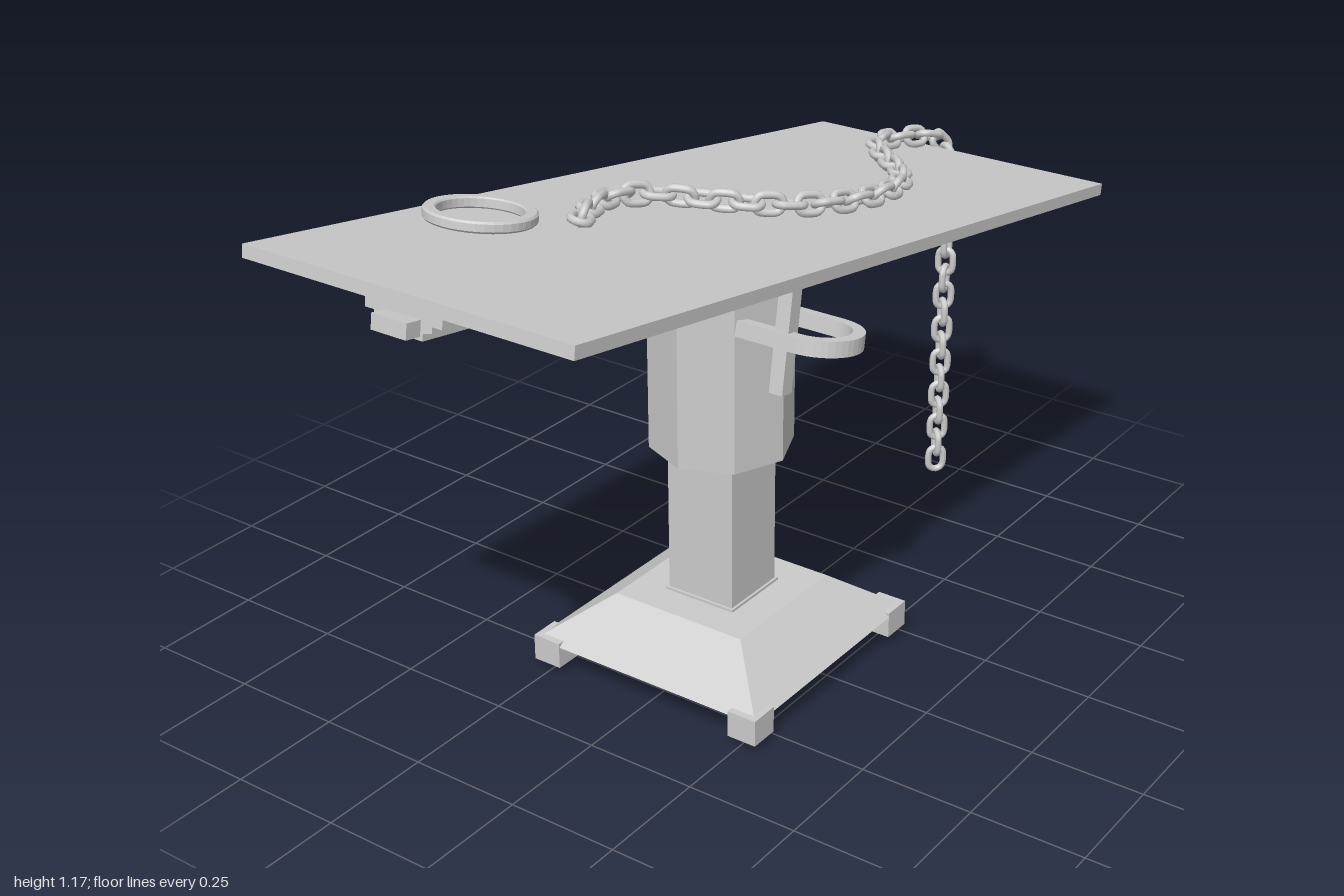
import * as THREE from 'three';

const TILT = -0.156;
const grey = new THREE.MeshStandardMaterial({ color: 0xcccccc });
const facet = new THREE.MeshStandardMaterial({ color: 0xcccccc, flatShading: true });

function add(parent, name, geometry, x = 0, y = 0, z = 0, material = facet) {
  const mesh = new THREE.Mesh(geometry, material);
  mesh.name = name;
  mesh.position.set(x, y, z);
  parent.add(mesh);
  return mesh;
}
const box = (w, h, d) => new THREE.BoxGeometry(w, h, d);

// Height of the sloping table surface at x
const tableY = (x) => 1.033 + Math.tan(TILT) * (x + 0.025);

// Pedestal: feet, flared base, column, octagonal housing and neck
function pedestal() {
  const g = new THREE.Group();
  g.name = 'pedestal';
  for (const sx of [-1, 1]) for (const sz of [-1, 1]) {
    add(g, 'foot', box(0.068, 0.06, 0.068), sx * 0.258, 0.055, sz * 0.256);
  }
  const base = new THREE.CylinderGeometry(0.163 * Math.SQRT2, 0.29 * Math.SQRT2, 0.095, 4);
  base.rotateY(Math.PI / 4);
  add(g, 'base', base, 0, 0.1225, 0);
  add(g, 'columnCollar', box(0.172, 0.008, 0.176), 0, 0.172, 0);
  add(g, 'column', box(0.16, 0.39, 0.165), 0, 0.355, 0);
  add(g, 'housing', new THREE.CylinderGeometry(0.155, 0.155, 0.38, 8), 0, 0.708, 0);
  add(g, 'neck', box(0.15, 0.11, 0.18), 0, 0.943, 0);
  g.position.x = -0.038;
  return g;
}

// Tilted table top with the stepped rail beneath it
function table() {
  const g = new THREE.Group();
  g.name = 'table';
  add(g, 'tableTop', box(1.9, 0.026, 0.752), 0, -0.013, 0);
  const half = [[0.088, 0], [0.088, -0.022], [0.066, -0.022], [0.066, -0.034], [0.046, -0.038], [0.046, -0.052]];
  const outline = [...half, ...half.map(([z, y]) => [-z, y]).reverse()];
  const profile = new THREE.Shape(outline.map(([z, y]) => new THREE.Vector2(z, y)));
  const rail = new THREE.ExtrudeGeometry(profile, { depth: 1.88, bevelEnabled: false });
  rail.translate(0, 0, -0.94).rotateY(Math.PI / 2);
  add(g, 'rail', rail, 0, -0.026, 0);
  add(g, 'railEnds', box(1.95, 0.03, 0.08), 0, -0.056, 0);
  g.position.set(-0.025, 1.033, 0);
  g.rotation.z = TILT;
  return g;
}

// Lever under the table and the U-shaped handle round it
function controls() {
  const g = new THREE.Group();
  g.name = 'controls';
  add(g, 'lever', box(0.034, 0.28, 0.032), -0.118, 0.868, 0.215).rotation.z = TILT;
  const r = 0.094, t = 0.026, end = 0.1, bend = 0.245;
  const u = new THREE.Shape();
  u.moveTo(r, end);
  u.lineTo(r, bend);
  u.absarc(0, bend, r, 0, Math.PI, false);
  u.lineTo(-r, end);
  u.lineTo(-r + t, end);
  u.lineTo(-r + t, bend);
  u.absarc(0, bend, r - t, Math.PI, 0, true);
  u.lineTo(r - t, end);
  const geo = new THREE.ExtrudeGeometry(u, { depth: 0.034, bevelEnabled: false, curveSegments: 10 });
  geo.rotateX(Math.PI / 2).translate(0, 0.017, 0);
  add(g, 'handle', geo, -0.052, 0.83, 0).rotation.z = TILT;
  return g;
}

// Flat collar ring lying on the table, turned from a bevelled section
function collar() {
  const section = [[0.085, 0.003], [0.088, 0], [0.107, 0], [0.111, 0.004], [0.111, 0.019],
    [0.107, 0.023], [0.088, 0.023], [0.085, 0.02], [0.085, 0.003]];
  const geo = new THREE.LatheGeometry(section.map(([x, y]) => new THREE.Vector2(x, y)), 40);
  const g = new THREE.Group();
  g.name = 'collar';
  add(g, 'collarRing', geo);
  g.position.set(-0.49, tableY(-0.49), -0.24);
  g.rotation.z = TILT;
  return g;
}

// Stadium-shaped link lying along local y
class LinkCurve extends THREE.Curve {
  getPoint(t, target = new THREE.Vector3()) {
    const a = t * Math.PI * 2;
    const s = Math.sin(a);
    const straight = THREE.MathUtils.clamp(s * 3, -1, 1) * 0.011;
    return target.set(Math.cos(a) * 0.019, s * 0.019 + straight, 0);
  }
}

// Chain winding over the table and hanging off its end
function chain() {
  const g = new THREE.Group();
  g.name = 'chain';
  const onTable = [[-0.42, -0.055], [-0.32, -0.108], [-0.2, -0.138], [-0.12, -0.1], [-0.06, 0],
    [0, 0.08], [0.1, 0.145], [0.25, 0.175], [0.4, 0.15], [0.5, 0.09], [0.6, -0.01],
    [0.69, -0.085], [0.77, -0.105], [0.85, -0.09]];
  const points = onTable.map(([x, z]) => new THREE.Vector3(x, tableY(x) + 0.027, z));
  for (const [x, y, z] of [[0.915, 0.908, -0.07], [0.953, 0.865, -0.052], [0.962, 0.8, -0.045],
    [0.957, 0.5, -0.045], [0.955, 0.25, -0.045], [0.954, 0.025, -0.045]]) {
    points.push(new THREE.Vector3(x, y, z));
  }
  const path = new THREE.CatmullRomCurve3(points, false, 'centripetal');
  path.arcLengthDivisions = 600;
  const link = new THREE.TubeGeometry(new LinkCurve(), 24, 0.0085, 8, true);
  const count = Math.round(path.getLength() / 0.045);
  const up = new THREE.Vector3(0, 1, 0);
  const roll = new THREE.Quaternion();
  for (let i = 0; i < count; i++) {
    const u = (i + 0.5) / count;
    const p = path.getPointAt(u);
    const mesh = add(g, 'chainLink', link, p.x, p.y, p.z, grey);
    mesh.quaternion.setFromUnitVectors(up, path.getTangentAt(u));
    // Neighbouring links are rolled a quarter turn apart
    roll.setFromAxisAngle(up, (i % 2 ? 1 : -1) * Math.PI / 4);
    mesh.quaternion.multiply(roll);
  }
  return g;
}

export function createModel() {
  const model = new THREE.Group();
  model.name = 'adjustableTable';
  model.add(pedestal(), table(), controls(), collar(), chain());
  return model;
}
